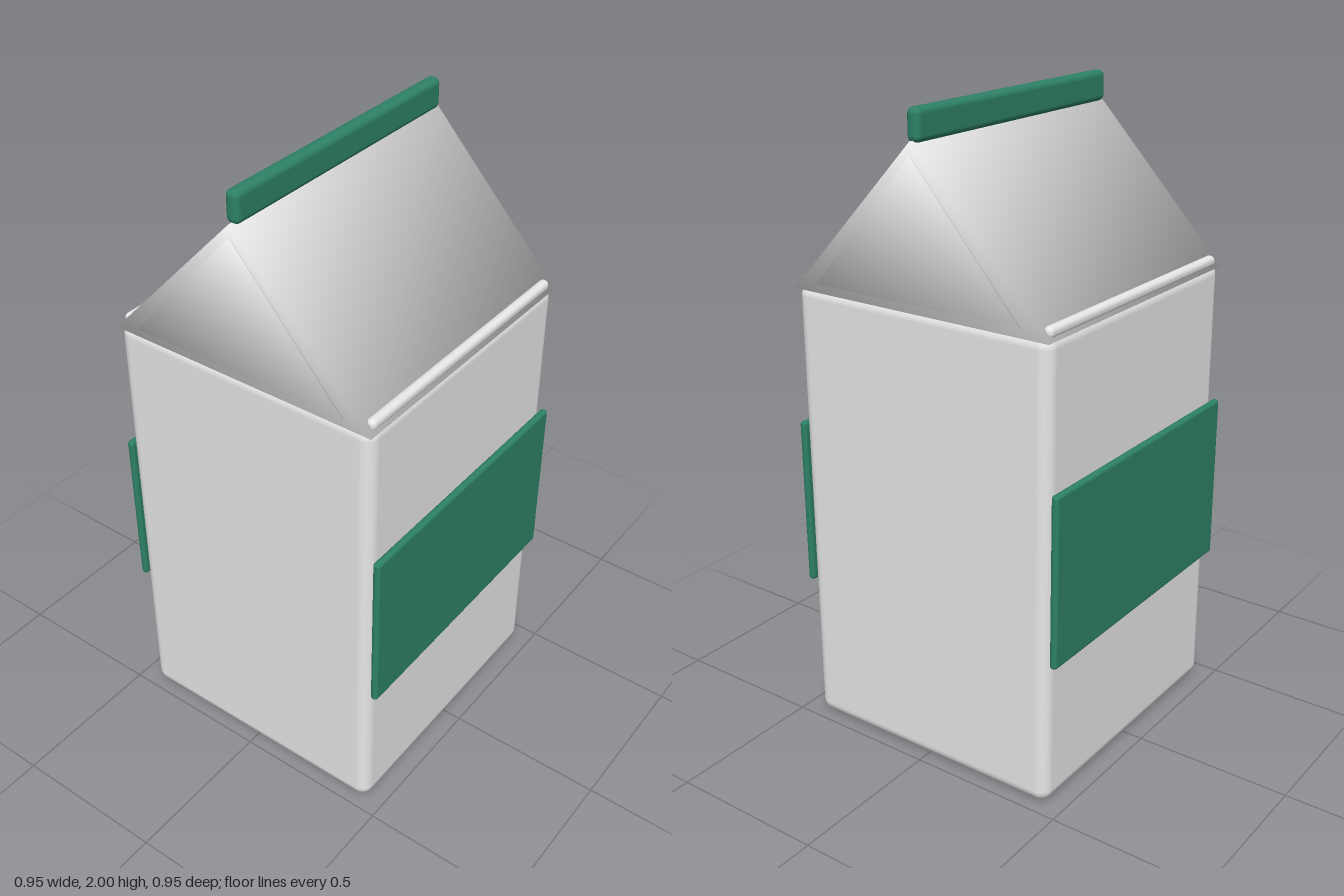
import * as THREE from 'three';
import { RoundedBoxGeometry } from 'three/addons/geometries/RoundedBoxGeometry.js';

const cardboard = new THREE.MeshStandardMaterial({ name: 'white cardboard', color: 0xf4f4f4 });
const green = new THREE.MeshStandardMaterial({ name: 'green print', color: 0x2d8166 });

function addPart(group, name, geometry, material, x = 0, y = 0, z = 0) {
  const mesh = new THREE.Mesh(geometry, material);
  mesh.name = name;
  mesh.position.set(x, y, z);
  group.add(mesh);
}

// Soft-shaded triangular prism along x; corners share angle-weighted normals.
function prism(halfLength, halfWidth, height) {
  const slope = Math.hypot(halfWidth, height);
  const ny = halfWidth / slope, nz = height / slope;
  const pitch = Math.atan2(height, halfWidth), right = Math.PI / 2;
  const positions = [], normals = [];
  for (const s of [-1, 1]) {
    for (const side of [1, -1, 0]) { // front eave, back eave, ridge
      positions.push(s * halfLength, side ? 0 : height, side * halfWidth);
      const n = side
        ? new THREE.Vector3(s * pitch, right * (ny - 1), side * right * nz)
        : new THREE.Vector3(s * (Math.PI - 2 * pitch), 2 * right * ny, 0);
      normals.push(...n.normalize().toArray());
    }
  }
  const geometry = new THREE.BufferGeometry();
  geometry.setAttribute('position', new THREE.Float32BufferAttribute(positions, 3));
  geometry.setAttribute('normal', new THREE.Float32BufferAttribute(normals, 3));
  geometry.setIndex([
    0, 3, 5, 0, 5, 2, // front slope
    4, 1, 2, 4, 2, 5, // back slope
    3, 4, 5, 1, 0, 2, // gable ends
    0, 1, 4, 0, 4, 3, // underside
  ]);
  return geometry;
}

export function createModel() {
  const carton = new THREE.Group();
  carton.name = 'carton';

  // Body and gabled top
  addPart(carton, 'body', new RoundedBoxGeometry(0.936, 1.455, 0.896, 5, 0.04), cardboard, 0, 0.7325, 0);
  addPart(carton, 'roof', prism(0.469, 0.449, 0.475), cardboard, 0, 1.443, 0);

  // Folded gable panels, barely proud of the roof ends
  for (const s of [-1, 1]) {
    addPart(carton, s > 0 ? 'leftGablePanel' : 'rightGablePanel',
      prism(0.004, 0.36, 0.41), cardboard, s * 0.47, 1.47, 0);
  }

  // Sealed fin along the ridge
  addPart(carton, 'ridgeSeal', new RoundedBoxGeometry(0.92, 0.094, 0.044, 4, 0.018), green, 0, 1.953, 0);

  // Eave creases and wide labels, front and back
  for (const s of [-1, 1]) {
    const end = s > 0 ? 'front' : 'back';
    addPart(carton, end + 'Crease', new RoundedBoxGeometry(0.896, 0.034, 0.032, 4, 0.015), cardboard,
      0, 1.464, s * 0.427);
    addPart(carton, end + 'Label', new RoundedBoxGeometry(0.92, 0.54, 0.024, 4, 0.011), green,
      0, 0.744, s * 0.464);
  }

  // Set the base exactly on the ground
  carton.children.forEach((part) => { part.position.y -= 0.005; });
  carton.children.find((part) => part.name === 'ridgeSeal').position.y = 1.953;
  return carton;
}
